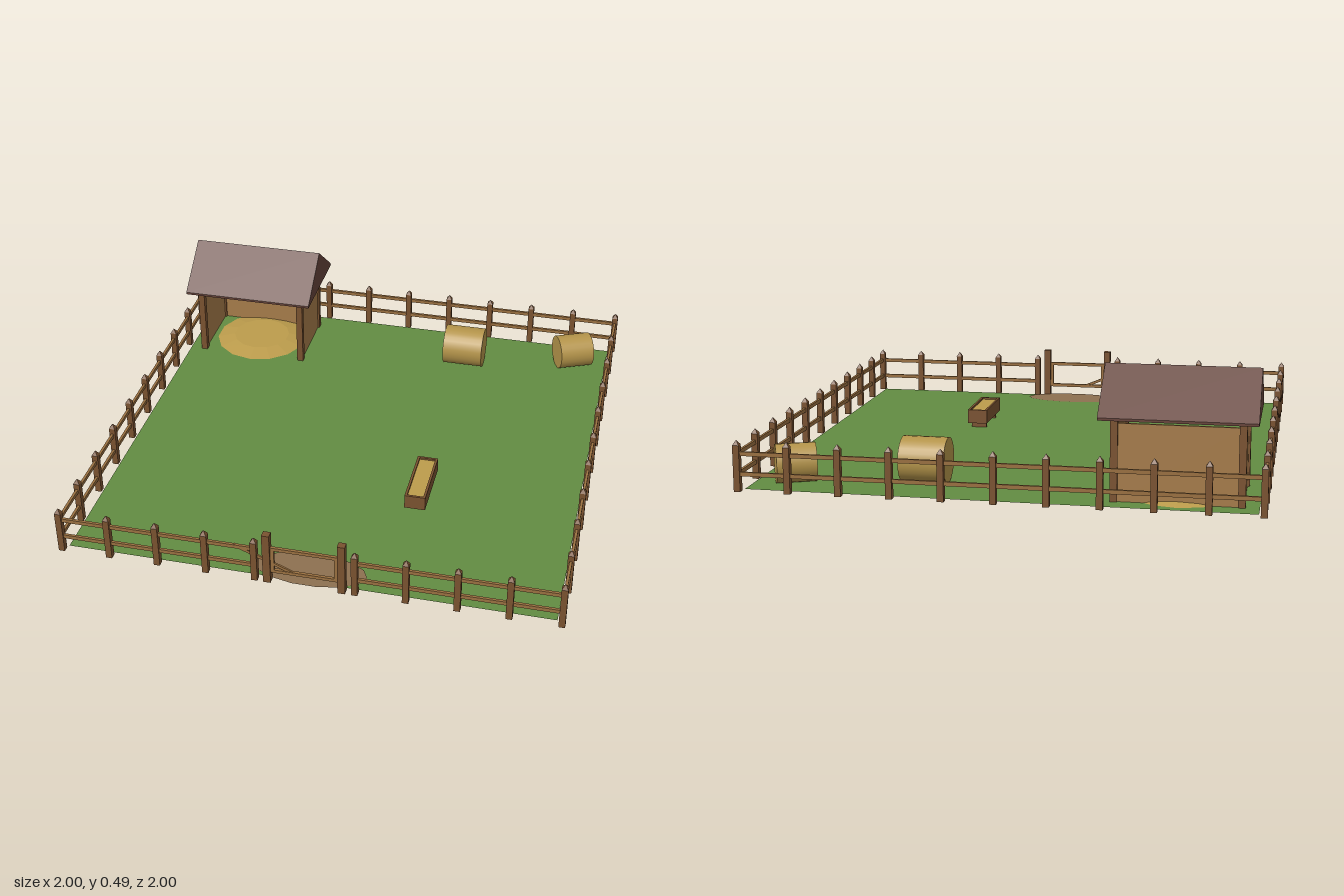
import * as THREE from 'three';

const mat = (color, side = THREE.FrontSide) =>
  new THREE.MeshStandardMaterial({ color, side, flatShading: true });
const WOOD = mat(0x7a5230), RAIL = mat(0x9a7040), PLANK = mat(0xa67c4a);
const ROOF = mat(0x66433a), GRASS = mat(0x628c42, THREE.DoubleSide);
const DIRT = mat(0x8d7050, THREE.DoubleSide), STRAW = mat(0xbc9c4c);
const HAY = new THREE.MeshStandardMaterial({ color: 0xb4944a });

export function createModel() {
  const model = new THREE.Group();

  function add(parent, name, geometry, material, x = 0, y = 0, z = 0) {
    const mesh = new THREE.Mesh(geometry, material);
    mesh.name = name;
    mesh.position.set(x, y, z);
    parent.add(mesh);
    return mesh;
  }
  const box = (parent, name, material, w, h, d, x, y, z) =>
    add(parent, name, new THREE.BoxGeometry(w, h, d), material, x, y, z);
  function group(name, x = 0, z = 0) {
    const g = new THREE.Group();
    g.name = name;
    g.position.set(x, 0, z);
    model.add(g);
    return g;
  }

  // Pasture and worn earth at the gate
  const ground = new THREE.PlaneGeometry(1.935, 1.935).rotateX(-Math.PI / 2);
  add(model, 'pasture', ground, GRASS, 0, 0.004, 0);
  const dirt = new THREE.CircleGeometry(1, 14).rotateX(-Math.PI / 2).scale(0.225, 1, 0.097);
  add(model, 'gatewayDirt', dirt, DIRT, 0, 0.008, 0.898);

  // Fence: four sides of ten bays, with the middle two bays of the front left open
  const E = 0.987, STEP = E / 5;
  const capGeometry = new THREE.ConeGeometry(0.018, 0.02, 4).rotateY(Math.PI / 4);
  for (let side = 0; side < 4; side++) {
    const fence = group(['frontFence', 'leftFence', 'backFence', 'rightFence'][side]);
    fence.rotation.y = side * Math.PI / 2;
    for (let i = 0; i < 10; i++) {
      if (side === 0 && i === 5) continue;
      const x = -E + i * STEP;
      box(fence, 'fencePost', WOOD, 0.025, 0.18, 0.025, x, 0.09, E);
      add(fence, 'fencePostCap', capGeometry, WOOD, x, 0.19, E);
    }
    const spans = side === 0 ? [[-E, -STEP], [STEP, E]] : [[-E, E]];
    for (const [a, b] of spans)
      for (const y of [0.068, 0.147])
        box(fence, 'fenceRail', RAIL, b - a, 0.016, 0.011, (a + b) / 2, y, E);
  }

  // Gate with taller posts and a slanting brace
  const gate = group('gate', 0, E - 0.002);
  for (const s of [-1, 1]) {
    box(gate, 'gatePost', WOOD, 0.03, 0.225, 0.03, s * 0.147, 0.1125, 0);
    box(gate, 'gateStile', RAIL, 0.014, 0.12, 0.012, s * 0.125, 0.105, 0);
  }
  for (const y of [0.052, 0.158])
    box(gate, 'gateRail', RAIL, 0.26, 0.014, 0.012, 0, y, 0);
  const brace = box(gate, 'gateBrace', RAIL, 0.265, 0.012, 0.008, -0.155, 0.1, 0);
  brace.rotation.z = -0.4;

  // Open-fronted shelter
  const shed = group('shelter', -0.667, -0.727);
  for (const sx of [-1, 1]) {
    for (const sz of [-1, 1])
      box(shed, 'shelterPost', WOOD, 0.028, 0.325, 0.028, sx * 0.235, 0.1625, sz * 0.155);
    box(shed, 'sideWall', PLANK, 0.012, 0.3, 0.29, sx * 0.235, 0.15, 0);
  }
  box(shed, 'backWall', PLANK, 0.46, 0.3, 0.012, 0, 0.15, -0.155);
  const gable = new THREE.Shape([
    new THREE.Vector2(-0.21, 0.318), new THREE.Vector2(0.21, 0.318),
    new THREE.Vector2(0.21, 0.328), new THREE.Vector2(0, 0.493),
    new THREE.Vector2(-0.21, 0.328),
  ]);
  const roof = new THREE.ExtrudeGeometry(gable, { depth: 0.584, bevelEnabled: false });
  roof.translate(0, 0, -0.292).rotateY(Math.PI / 2);
  add(shed, 'shelterRoof', roof, ROOF);
  const bedding = new THREE.CylinderGeometry(0.13, 0.21, 0.016, 14);
  add(shed, 'strawBedding', bedding, STRAW, 0, 0.013, 0);

  // Round hay bales lying on their sides
  function bale(name, radius, length, x, z, turn) {
    const g = group(name, x, z);
    g.rotation.y = turn;
    const roll = new THREE.CylinderGeometry(radius, radius, length, 28).rotateZ(Math.PI / 2);
    add(g, 'hayRoll', roll, HAY, 0, radius + 0.002, 0);
  }
  bale('largeHayBale', 0.089, 0.18, 0.32, -0.728, 0);
  bale('smallHayBale', 0.076, 0.155, 0.815, -0.82, 0.42);

  // Feed trough
  const trough = group('feedTrough', 0.322, 0.32);
  box(trough, 'troughFloor', WOOD, 0.075, 0.012, 0.27, 0, 0.034, 0);
  for (const s of [-1, 1]) {
    box(trough, 'troughSide', WOOD, 0.01, 0.06, 0.28, s * 0.038, 0.059, 0);
    box(trough, 'troughEnd', WOOD, 0.07, 0.06, 0.01, 0, 0.059, s * 0.135);
    box(trough, 'troughLeg', WOOD, 0.065, 0.03, 0.016, 0, 0.015, s * 0.095);
  }
  box(trough, 'troughFeed', STRAW, 0.068, 0.042, 0.262, 0, 0.06, 0);

  return model;
}
